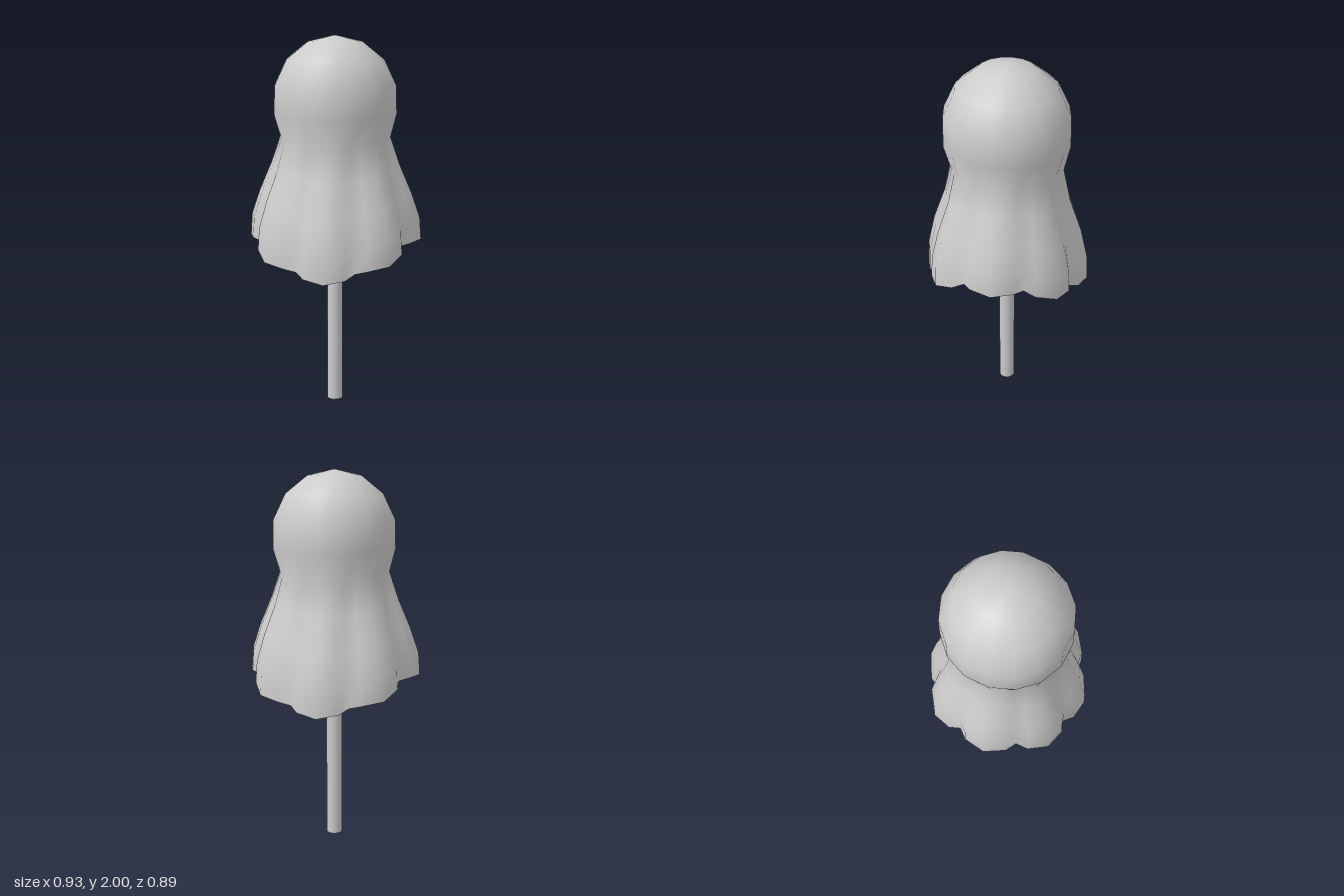
import * as THREE from 'three';

const SIDES = 32;

// Cloth rings from hem to neck: mean height, front-to-side sway, radius, oval, fold strength
const SKIRT = [
  [0.855, 0.075, 0.456, 0.009, 1],
  [0.98, 0.068, 0.448, 0.008, 0.95],
  [1.13, 0.05, 0.405, 0.005, 0.8],
  [1.295, 0.035, 0.34, 0.005, 0.5],
  [1.457, 0.018, 0.295, 0, 0.12],
  [1.587, 0.01, 0.326, 0, 0],
];
// One of eight folds over four steps: inward depth, sideways pinch, hem lift
const FOLD = [[0, 0, 0], [0.022, 0.06, 0.012], [0.057, 0, 0.018], [0.022, -0.06, 0.012]];

function clothGeometry() {
  const points = [];
  const index = [];
  const addRing = (rule) => {
    for (let j = 0; j < SIDES; j++) {
      const [a, r, y] = rule((j / SIDES) * Math.PI * 2, j);
      points.push(Math.sin(a) * r, y, Math.cos(a) * r);
    }
  };

  // Draped skirt: folds fade out towards the neck
  SKIRT.forEach(([y, sway, r, oval, fold], row) => addRing((a, j) => {
    const [depth, pinch, lift] = FOLD[j % 4];
    const c = Math.cos(2 * a);
    const chord = j % 2 ? 1 - 0.019 * (1 - fold) : 1;
    return [a + pinch * fold, (r - oval * c) * chord - depth * fold,
      y - sway * c + (row === 0 ? lift : lift * fold * 0.4)];
  }));

  // Sixteen-sided dome of the head
  for (let k = 3; k >= 1; k--) {
    const t = (k * Math.PI) / 7;
    addRing((a, j) => [a, 0.33 * Math.sin(t) * (j % 2 ? 0.981 : 1), 1.67 + 0.33 * Math.cos(t)]);
  }

  const rows = points.length / 3 / SIDES;
  const top = points.length / 3;
  points.push(0, 2, 0);
  for (let i = 0; i < rows; i++) {
    for (let j = 0; j < SIDES; j++) {
      const a = i * SIDES + j;
      const b = i * SIDES + ((j + 1) % SIDES);
      if (i === rows - 1) index.push(a, b, top);
      else index.push(a, b, b + SIDES, a, b + SIDES, a + SIDES);
    }
  }
  const g = new THREE.BufferGeometry();
  g.setAttribute('position', new THREE.Float32BufferAttribute(points, 3));
  g.setIndex(index);
  g.computeVertexNormals();
  return g;
}

export function createModel() {
  const model = new THREE.Group();

  // Sheet draped over the round head
  const cloth = new THREE.Mesh(clothGeometry(),
    new THREE.MeshStandardMaterial({ color: 0xcccccc, side: THREE.DoubleSide }));
  cloth.name = 'drapedCloth';

  // Stick rising into the head
  const stick = new THREE.Mesh(new THREE.CylinderGeometry(0.043, 0.043, 1.7, 16),
    new THREE.MeshStandardMaterial({ color: 0xcccccc }));
  stick.position.y = 0.85;
  stick.name = 'stick';

  model.add(cloth, stick);
  return model;
}
